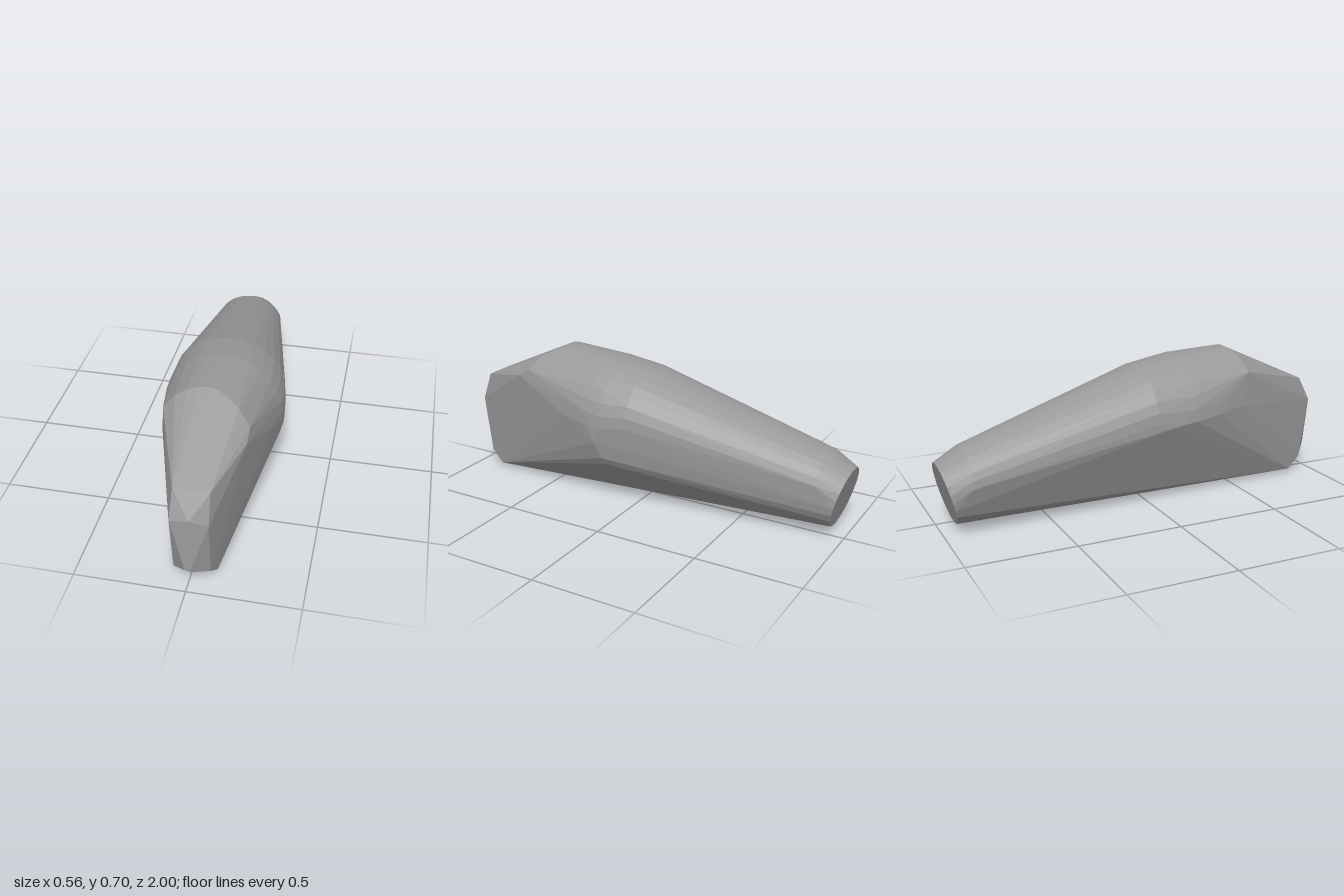
import * as THREE from 'three';
import { ConvexGeometry } from 'three/addons/geometries/ConvexGeometry.js';

const V = (x, y, z) => new THREE.Vector3(x, y, z);

// Points on an elliptical arc; zAt gives the depth for each height
function arc(cx, cy, rx, ry, zAt, from, to, steps) {
  const points = [];
  for (let i = 0; i <= steps; i++) {
    const a = THREE.MathUtils.degToRad(from + (to - from) * i / steps);
    const y = cy + ry * Math.sin(a);
    points.push(V(cx + rx * Math.cos(a), y, zAt(y)));
  }
  return points;
}

export function createModel() {
  const grey = new THREE.MeshStandardMaterial({ color: 0x999999 });
  grey.name = 'grey';

  // Slanted round end at the back and the shoulder just ahead of it
  const endCap = arc(-0.07, 0.17, 0.152, 0.143, y => -0.93 - (y - 0.027) * 0.245, 0, 345, 23);
  const shoulder = arc(-0.07, 0.23, 0.173, 0.15, () => -0.88, 15, 180, 12);

  // Rounded bulge: cx, cy, rx, ry, z
  const bulge = [
    [-0.01, 0.42, 0.268, 0.23, 0],
    [0, 0.405, 0.28, 0.268, 0.13],
    [0, 0.41, 0.278, 0.275, 0.2],
    [0, 0.425, 0.255, 0.267, 0.34],
    [0, 0.44, 0.22, 0.255, 0.48],
  ].flatMap(([cx, cy, rx, ry, z]) => arc(cx, cy, rx, ry, () => z, 0, 180, 14));

  // Lower flanks of the bulge
  const flanks = [
    V(0.28, 0.33, 0.16), V(0.262, 0.25, 0.13), V(0.24, 0.212, 0.13), V(-0.28, 0.39, 0.05),
  ];

  // Upper edge of the sloping front facet
  const slope = [
    V(-0.2, 0.6, 0.52), V(-0.15, 0.655, 0.505), V(-0.1, 0.684, 0.49), V(-0.05, 0.698, 0.482),
    V(-0.01, 0.7, 0.48), V(0.03, 0.698, 0.484), V(0.08, 0.684, 0.505), V(0.14, 0.66, 0.55),
    V(0.195, 0.6, 0.59), V(0.195, 0.56, 0.65),
  ];

  // Narrow nose and the chin under it
  const nose = [
    V(-0.062, 0.5, 0.915), V(0.097, 0.5, 0.915),
    V(-0.065, 0.38, 0.978), V(0.02, 0.395, 0.988), V(0.098, 0.36, 0.965),
    V(0, 0.13, 1), V(0.022, 0.122, 1),
    V(-0.068, 0.073, 0.93), V(0.096, 0.073, 0.93),
    V(-0.085, 0.018, 0.86), V(0.11, 0.015, 0.86),
    V(-0.05, 0.006, 0.86), V(0.04, 0, 0.86),
  ];

  const body = new THREE.Mesh(
    new ConvexGeometry([...endCap, ...shoulder, ...bulge, ...flanks, ...slope, ...nose]), grey);
  body.name = 'body';

  const group = new THREE.Group();
  group.name = 'taperedHull';
  group.add(body);
  return group;
}
